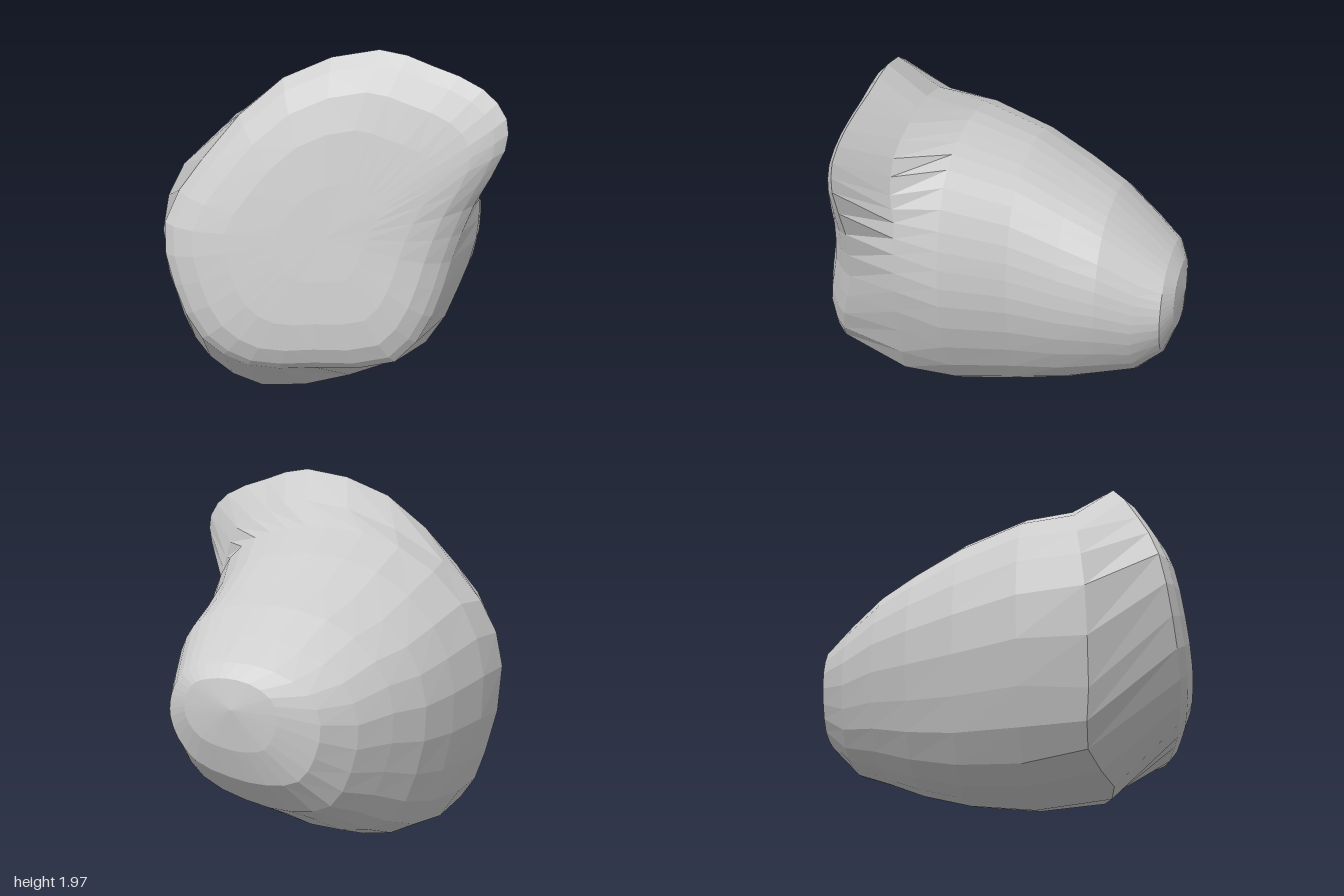
import * as THREE from 'three';

const SIDES = 32;
const v3 = (p) => new THREE.Vector3(...p);

// Smooth closed loop through a few points, resampled to SIDES corners
const loop = (pts) => {
  const curve = new THREE.CatmullRomCurve3(pts.map(v3), true, 'centripetal');
  return Array.from({ length: SIDES }, (_, j) => curve.getPoint(j / SIDES));
};

// Edge of the broad front face, clockwise from the peak
const RIM = [
  [0.26, 1.97, 0.57], [0.52, 1.91, 0.58], [0.77, 1.82, 0.61], [0.89, 1.69, 0.64],
  [0.89, 1.53, 0.65], [0.75, 1.23, 0.65], [0.65, 0.93, 0.68], [0.57, 0.65, 0.76],
  [0.4, 0.41, 0.83], [0, 0.37, 0.9], [-0.34, 0.36, 0.93], [-0.57, 0.5, 0.95],
  [-0.71, 0.78, 0.93], [-0.76, 1.1, 0.88], [-0.58, 1.42, 0.78], [-0.2, 1.82, 0.64],
];

// Loop behind the rim: pinched under the peak, bulging at the lower left
const SHOULDER = [
  [0.22, 1.8, 0.38], [0.45, 1.74, 0.4], [0.64, 1.63, 0.42], [0.71, 1.46, 0.42],
  [0.73, 1.32, 0.4], [0.75, 1.15, 0.4], [0.74, 0.93, 0.4], [0.66, 0.65, 0.42],
  [0.5, 0.32, 0.45], [0.1, 0.11, 0.52], [-0.36, 0.04, 0.6], [-0.68, 0.12, 0.5],
  [-0.81, 0.38, 0.52], [-0.9, 0.88, 0.52], [-0.78, 1.25, 0.48], [-0.3, 1.64, 0.42],
];

// Body cross-section in a -1..1 box, squarer at the upper right and lower left
const SECTION = [
  [0.1, 1], [0.4, 0.98], [0.64, 0.92], [0.83, 0.78], [0.95, 0.54], [1, 0.3], [1, 0.05], [0.9, -0.3],
  [0.66, -0.66], [0.2, -0.9], [-0.3, -1], [-0.71, -0.9], [-0.92, -0.5], [-1, 0.05], [-0.84, 0.52], [-0.4, 0.88],
];

// Body stations: z, min x, max x, min y, max y
const STATIONS = [
  [0.18, -0.86, 0.73, 0, 1.66],
  [-0.15, -0.77, 0.63, 0.04, 1.54],
  [-0.4, -0.68, 0.61, 0.12, 1.41],
  [-0.6, -0.56, 0.6, 0.22, 1.31],
  [-0.78, -0.43, 0.55, 0.3, 1.17],
  [-0.92, -0.28, 0.5, 0.46, 1.06],
  [-0.975, -0.08, 0.4, 0.63, 0.99],
];

const station = ([z, x0, x1, y0, y1]) => loop(SECTION.map(([u, v]) => [
  (x0 + x1) / 2 + (u * (x1 - x0)) / 2,
  (y0 + y1) / 2 + (v * (y1 - y0)) / 2,
  z,
]));

function boulderGeometry() {
  const rim = loop(RIM);
  const rings = [];

  // Front face: a leaning plane with a domed, rounded border that meets the rim
  const centre = v3([0.06, 1.1, 0]);
  const plane = (p) => 0.78 - 0.14 * (p.x - centre.x) - 0.2 * (p.y - centre.y);
  for (const k of [0, 0.3, 0.6, 0.8, 0.93]) {
    rings.push(rim.map((p) => {
      const q = centre.clone().lerp(p, k);
      q.z = plane(q) + 0.11 * (1 - k ** 7) + (p.z - plane(p)) * k ** 3;
      return q;
    }));
  }

  // Rim, shoulder and body, closed at the back
  rings.push(rim, loop(SHOULDER), ...STATIONS.map(station));
  rings.push(rim.map(() => v3([0.15, 0.84, -1])));

  const positions = rings.flat().flatMap((p) => p.toArray());
  const index = [];
  for (let i = 0; i < rings.length - 1; i++) {
    for (let j = 0; j < SIDES; j++) {
      const n = (j + 1) % SIDES;
      const a = i * SIDES + j, b = i * SIDES + n;
      const c = a + SIDES, d = b + SIDES;
      if (i > 0) index.push(a, b, c);
      if (i < rings.length - 2) index.push(b, d, c);
    }
  }
  const geometry = new THREE.BufferGeometry();
  geometry.setAttribute('position', new THREE.Float32BufferAttribute(positions, 3));
  geometry.setIndex(index);
  geometry.computeVertexNormals();
  return geometry;
}

export function createModel() {
  const group = new THREE.Group();
  group.name = 'rock';
  const material = new THREE.MeshStandardMaterial({ color: 0xcccccc, flatShading: true });
  const boulder = new THREE.Mesh(boulderGeometry(), material);
  boulder.name = 'boulder';
  group.add(boulder);
  return group;
}
